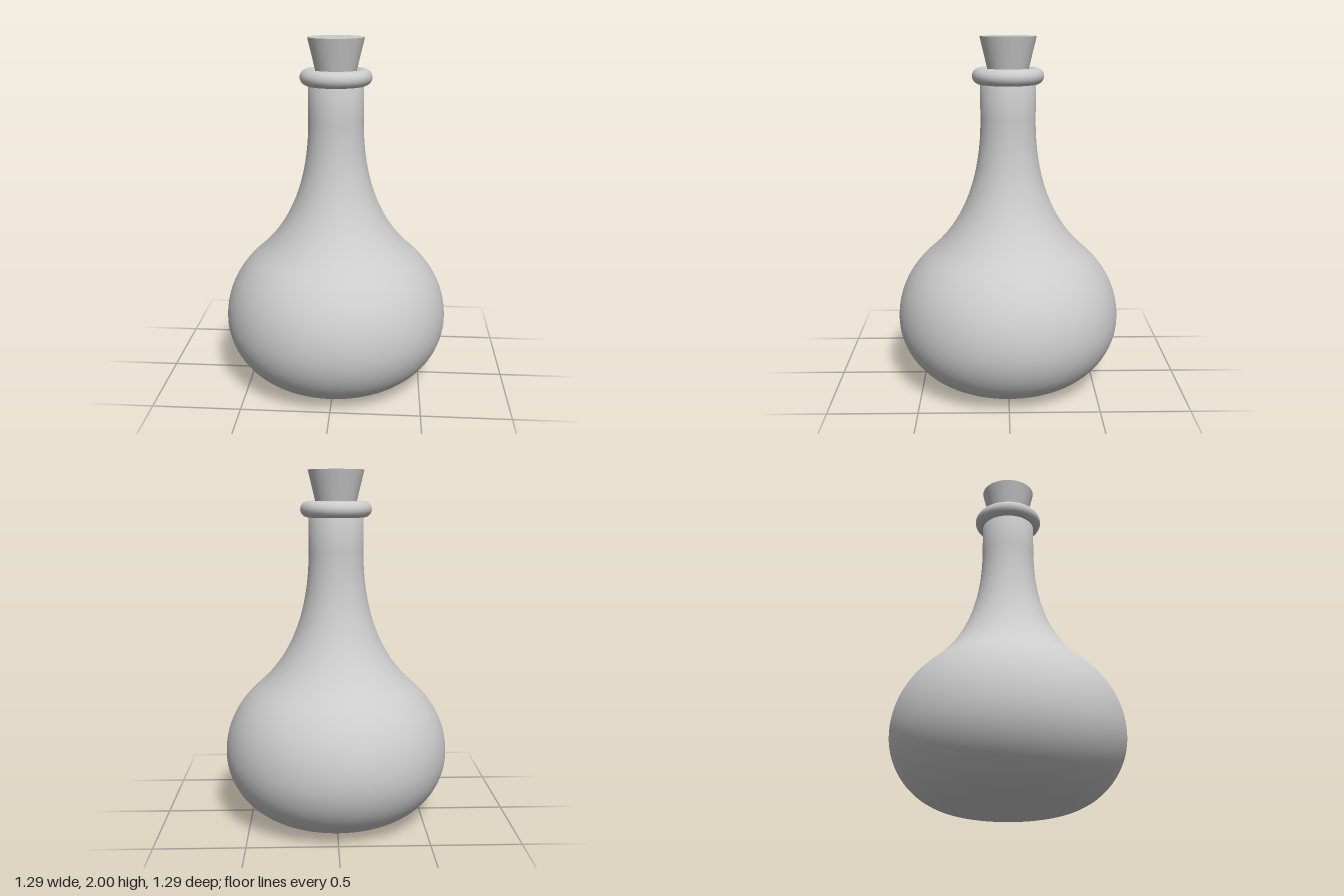
import * as THREE from 'three';

const SEGMENTS = 96;

export function createModel() {
  const model = new THREE.Group();
  model.name = 'stopperedFlask';
  const material = new THREE.MeshStandardMaterial({ color: 0xcccccc });

  const add = (name, geometry, y = 0) => {
    const mesh = new THREE.Mesh(geometry, material);
    mesh.name = name;
    mesh.position.y = y;
    model.add(mesh);
    return mesh;
  };

  // Flask: flat base, round belly, concave shoulder and straight neck
  const profile = new THREE.Path();
  profile.moveTo(0, 0);
  profile.lineTo(0.24, 0);
  profile.bezierCurveTo(0.48, 0, 0.643, 0.19, 0.643, 0.39);
  profile.bezierCurveTo(0.643, 0.56, 0.56, 0.69, 0.45, 0.785);
  profile.bezierCurveTo(0.25, 0.96, 0.155, 1.22, 0.155, 1.55);
  profile.lineTo(0.155, 1.785);
  profile.lineTo(0.09, 1.785); // mouth rim, hidden in the lip
  add('flaskBody', new THREE.LatheGeometry(profile.getPoints(24), SEGMENTS));

  // Rounded lip around the mouth
  const lip = new THREE.TorusGeometry(0.155, 0.045, 24, SEGMENTS);
  lip.rotateX(-Math.PI / 2);
  add('lipRing', lip, 1.785);

  // Tapered stopper seated in the mouth
  const stopperHeight = 0.28;
  add(
    'stopper',
    new THREE.CylinderGeometry(0.157, 0.09, stopperHeight, SEGMENTS),
    2 - stopperHeight / 2
  );

  return model;
}
